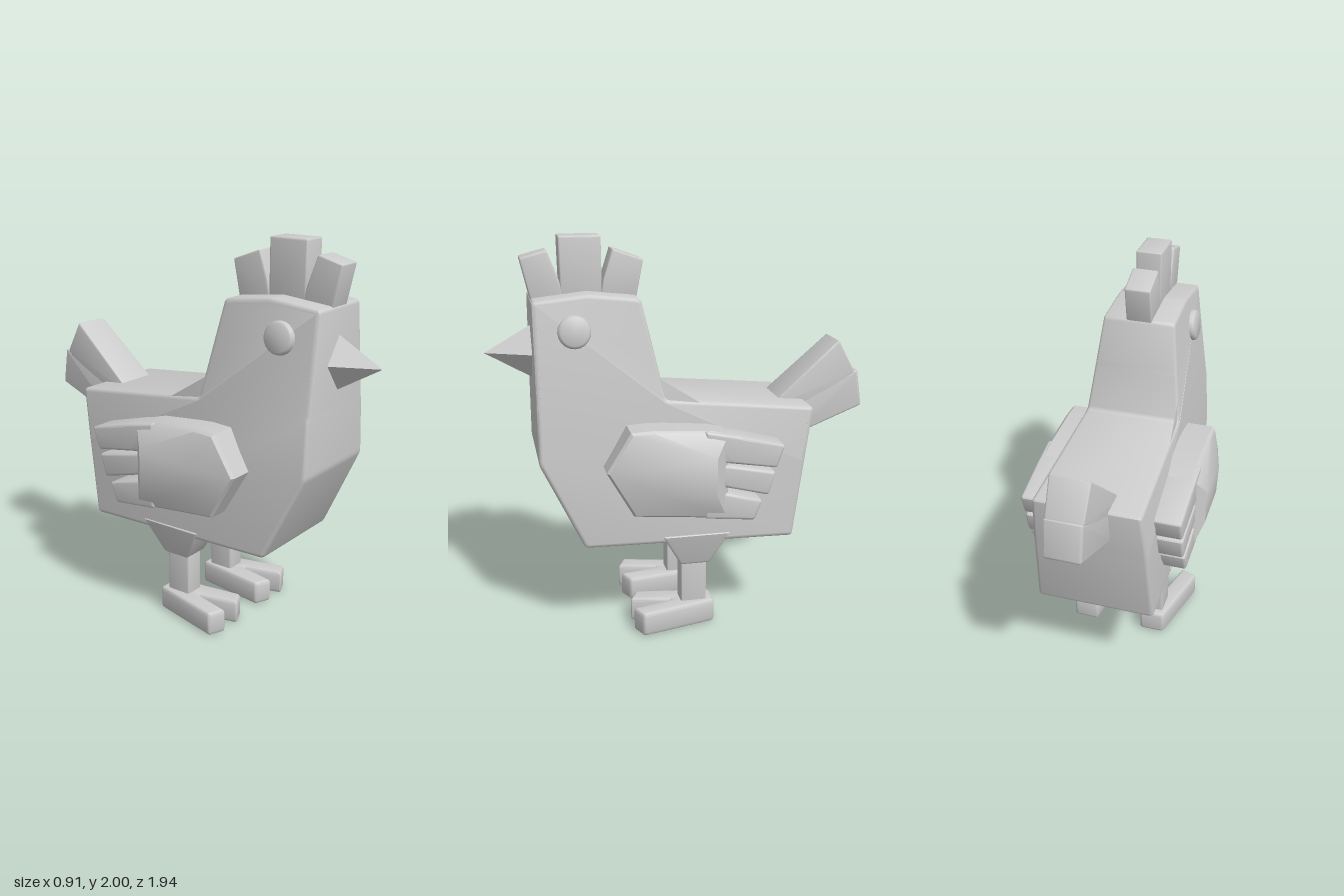
import * as THREE from 'three';
import { toCreasedNormals } from 'three/addons/utils/BufferGeometryUtils.js';
import { ConvexGeometry } from 'three/addons/geometries/ConvexGeometry.js';

const material = new THREE.MeshStandardMaterial({ color: 0xcccccc });

function addMesh(parent, name, geometry, x = 0, y = 0, z = 0) {
  const mesh = new THREE.Mesh(geometry, material);
  mesh.name = name;
  mesh.position.set(x, y, z);
  parent.add(mesh);
  return mesh;
}

// Closed outline with slightly rounded corners
function roundedShape(points, radius) {
  const pts = points.map(([a, b]) => new THREE.Vector2(a, b));
  const shape = new THREE.Shape();
  const toward = (p, q) => p.clone().lerp(q, Math.min(0.4, radius / p.distanceTo(q)));
  pts.forEach((p, i) => {
    const a = toward(p, pts[(i + pts.length - 1) % pts.length]);
    const b = toward(p, pts[(i + 1) % pts.length]);
    if (i === 0) shape.moveTo(a.x, a.y);
    else shape.lineTo(a.x, a.y);
    shape.quadraticCurveTo(p.x, p.y, b.x, b.y);
  });
  shape.closePath();
  return shape;
}

// Bevelled slab: side profile of [z, y] points, widened along x, with an optional width rule
function slab(points, half, bevel, widthAt) {
  const geo = new THREE.ExtrudeGeometry(roundedShape(points, bevel), {
    depth: 2 * (half - bevel), curveSegments: 3,
    bevelThickness: bevel, bevelSize: bevel, bevelOffset: -bevel, bevelSegments: 3,
  });
  geo.translate(0, 0, bevel - half);
  geo.translate(0, 0, -bevel);
  geo.rotateY(-Math.PI / 2);
  geo.computeBoundingBox();
  geo.translate(-(geo.boundingBox.min.x + geo.boundingBox.max.x) / 2, 0, 0);
  if (widthAt) {
    const p = geo.attributes.position;
    for (let i = 0; i < p.count; i++) {
      p.setX(i, p.getX(i) * widthAt(p.getY(i), p.getZ(i)) / half);
    }
  }
  return toCreasedNormals(geo, 0.6);
}

// Piecewise linear lookup through [key, value] pairs
function ramp(table, key) {
  for (let i = 1; i < table.length; i++) {
    const [k0, v0] = table[i - 1], [k1, v1] = table[i];
    if (key <= k1) return THREE.MathUtils.mapLinear(Math.max(key, k0), k0, k1, v0, v1);
  }
  return table[table.length - 1][1];
}

function addWing(parent, side) {
  const wing = new THREE.Group();
  wing.name = side > 0 ? 'leftWing' : 'rightWing';
  const outline = [[0.31, 1.105], [0.2, 1.11], [-0.09, 1.09], [-0.17, 1.07],
    [-0.17, 0.635], [0.3, 0.68], [0.43, 0.91]];
  const points = [];
  const add = (x, y, z) => points.push(new THREE.Vector3(side * x, y, z));
  for (const [z, y] of outline) {
    add(0.23, y, z);
    add(0.385, y, z);
    add(0.4, 0.88 + (y - 0.88) * 0.95, 0.1 + (z - 0.1) * 0.96);
  }
  // Raised middle of the outer face
  for (const [z, y] of [[0.2, 0.93], [0.16, 0.8], [-0.1, 0.97], [-0.1, 0.78]]) add(0.453, y, z);
  addMesh(wing, 'wingBase', toCreasedNormals(new ConvexGeometry(points), 0.5));

  // Three feather tips
  const feathers = [
    [[-0.05, 1.095], [-0.22, 1.06], [-0.455, 1.0], [-0.415, 0.885], [-0.17, 0.925], [-0.05, 0.94]],
    [[-0.05, 0.94], [-0.17, 0.915], [-0.41, 0.865], [-0.375, 0.745], [-0.16, 0.8], [-0.05, 0.82]],
    [[-0.05, 0.8], [-0.15, 0.775], [-0.345, 0.72], [-0.305, 0.618], [-0.05, 0.645]],
  ];
  feathers.forEach((pts) => addMesh(wing, 'feather', slab(pts, 0.08, 0.015), side * 0.33));
  parent.add(wing);
}

function addLeg(parent, side) {
  const leg = new THREE.Group();
  leg.name = side > 0 ? 'leftLeg' : 'rightLeg';
  addMesh(leg, 'thigh', slab([[0.14, 0.52], [-0.21, 0.52], [-0.11, 0.34], [0.04, 0.34]], 0.12, 0.012,
    (y) => ramp([[0.34, 0.07], [0.48, 0.11], [0.52, 0.12]], y)), side * 0.187);
  addMesh(leg, 'shin', slab([[0.035, 0.36], [-0.1, 0.36], [-0.1, 0.08], [0.035, 0.08]], 0.053, 0.012), side * 0.187);

  // Two-toed foot cut from its plan outline of [x, z] points
  const plan = [[-0.085, -0.14], [0.045, -0.14], [0.14, 0.25], [0.05, 0.29],
    [-0.005, 0.08], [-0.05, 0.29], [-0.14, 0.25]];
  const foot = new THREE.ExtrudeGeometry(roundedShape(plan.map(([x, z]) => [side * x, -z]), 0.015), {
    depth: 0.09, curveSegments: 3,
    bevelThickness: 0.018, bevelSize: 0.018, bevelOffset: -0.018, bevelSegments: 3,
  });
  foot.rotateX(-Math.PI / 2);
  addMesh(leg, 'foot', toCreasedNormals(foot, 0.6), side * 0.21, 0.018, 0);
  parent.add(leg);
}

export function createModel() {
  const model = new THREE.Group();
  model.name = 'chicken';

  // Body and head in one piece, narrowing upward
  const bodyProfile = [[0.74, 0.93], [0.53, 0.49], [-0.54, 0.47], [-0.6, 0.87], [-0.645, 1.145],
    [0.11, 1.22], [0.165, 1.465], [0.22, 1.71], [0.47, 1.738], [0.74, 1.71], [0.74, 1.22]];
  const widths = [[0.47, 0.305], [0.93, 0.285], [1.14, 0.268], [1.22, 0.247], [1.74, 0.18]];
  addMesh(model, 'body', slab(bodyProfile, 0.3, 0.02,
    (y, z) => ramp(widths, y) - (y < 1.2 ? 0.02 * Math.max(z, 0) : 0)));

  // Comb of three teeth
  const teeth = [
    [[0.73, 1.68], [0.78, 1.9], [0.65, 1.935], [0.595, 1.79], [0.57, 1.68]],
    [[0.59, 1.68], [0.595, 2.0], [0.39, 2.0], [0.39, 1.68]],
    [[0.4, 1.68], [0.385, 1.78], [0.335, 1.935], [0.185, 1.88], [0.225, 1.68]],
  ];
  teeth.forEach((pts) => addMesh(model, 'combTooth', slab(pts, 0.066, 0.008)));

  // Beak: four-sided point
  const beak = new THREE.ConeGeometry(1, 0.27, 4, 1).toNonIndexed();
  beak.rotateX(Math.PI / 2);
  beak.scale(0.12, 0.155, 1);
  beak.computeVertexNormals();
  addMesh(model, 'beak', beak, 0, 1.44, 0.832);

  // Tail: upper and lower feathers sharing a crease
  const tailWidth = (y, z) => ramp([[-0.97, 0.09], [-0.5, 0.115]], z);
  addMesh(model, 'upperTail', slab([[-0.44, 1.1], [-0.83, 1.445], [-0.925, 1.27], [-0.62, 1.08]], 0.11, 0.01, tailWidth));
  addMesh(model, 'lowerTail', slab([[-0.56, 1.1], [-0.94, 1.285], [-0.97, 1.09], [-0.58, 0.945]], 0.11, 0.012, tailWidth));

  for (const side of [1, -1]) {
    // Eye disc lying on the sloping side of the head
    const profile = [[0, 0.03], [0.066, 0.03], [0.076, 0.024], [0.08, 0.014], [0.08, -0.03]]
      .reverse().map(([r, h]) => new THREE.Vector2(r, h));
    const eye = addMesh(model, side > 0 ? 'leftEye' : 'rightEye',
      toCreasedNormals(new THREE.LatheGeometry(profile, 20), 0.7), side * 0.198, 1.565, 0.545);
    eye.rotation.z = -side * (Math.PI / 2 - 0.12);
    addWing(model, side);
    addLeg(model, side);
  }
  return model;
}
